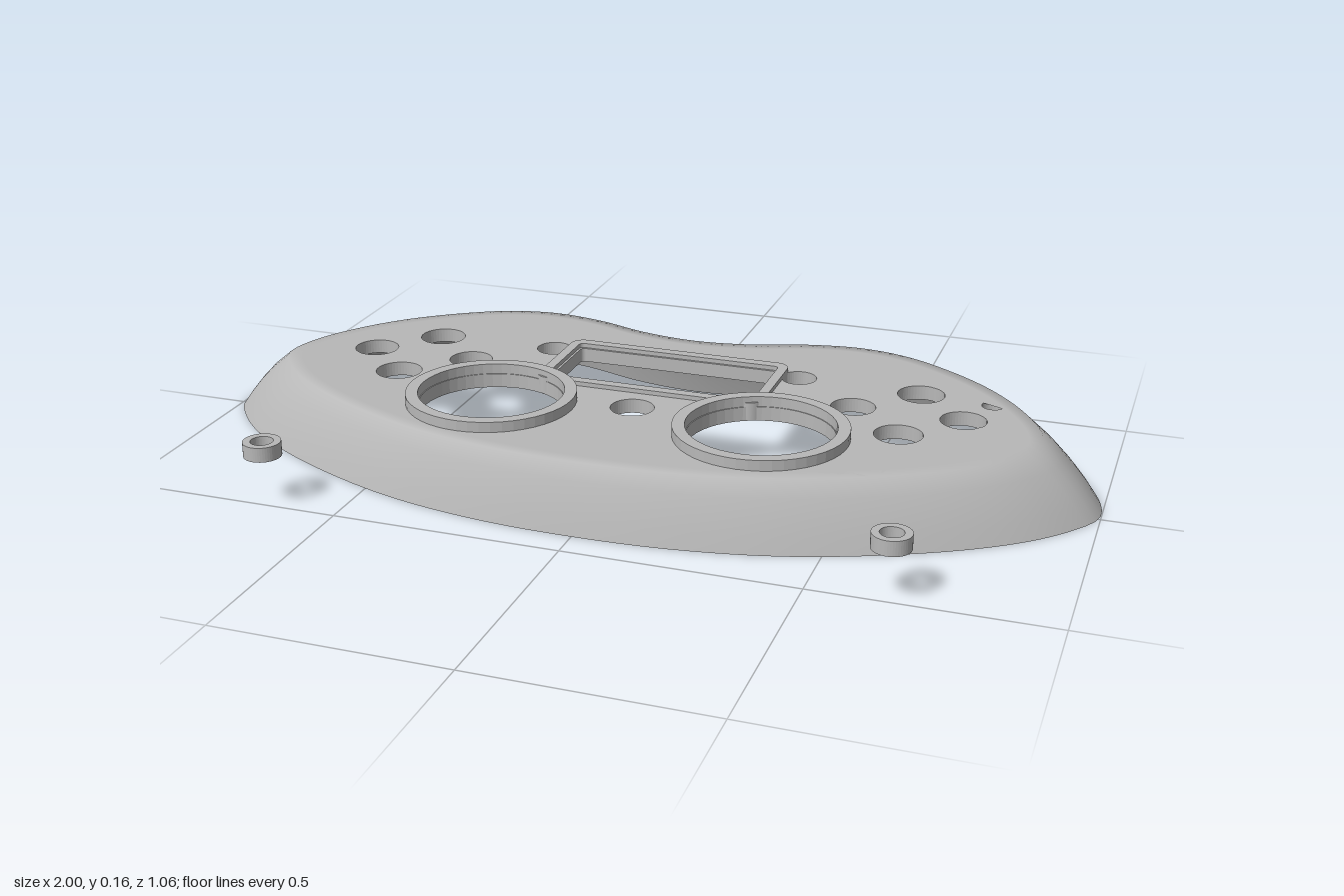
import * as THREE from 'three';

const TOP = 0.14, UNDER = 0.108, INSET = 0.03, N = 160;

// Half of the base outline as [x, z], from front centre round to back centre
const HALF = [
  [0, 0.432], [0.22, 0.42], [0.45, 0.372], [0.7, 0.267], [0.86, 0.165], [0.95, 0.075], [0.997, -0.005],
  [0.985, -0.1], [0.92, -0.225], [0.82, -0.345], [0.7, -0.44], [0.57, -0.51], [0.44, -0.535],
  [0.3, -0.515], [0.15, -0.465], [0, -0.444],
];

function baseOutline() {
  const other = HALF.slice(1, -1).reverse().map(([x, z]) => [-x, z]);
  const pts = [...HALF, ...other].map(([x, z]) => new THREE.Vector3(x, 0, z));
  return new THREE.CatmullRomCurve3(pts, true, 'centripetal').getSpacedPoints(N).slice(0, N);
}

// Outline scaled about the centre, then moved inwards by a fixed wall thickness
function ring(outline, scale, inset) {
  return outline.map((p, i) => {
    const a = outline[(i + N - 1) % N], b = outline[(i + 1) % N];
    const t = new THREE.Vector2(b.x - a.x, b.z - a.z).normalize();
    return [p.x * scale + t.y * inset, p.z * scale - t.x * inset];
  });
}

// Smooth skin over a stack of [scale, y, inset] rows
function skin(outline, rows) {
  const pos = [], idx = [];
  for (const [s, y, inset] of rows) for (const [x, z] of ring(outline, s, inset)) pos.push(x, y, z);
  for (let j = 0; j < rows.length - 1; j++) {
    for (let i = 0; i < N; i++) {
      const k = (i + 1) % N;
      const a = j * N + i, b = j * N + k, c = b + N, d = a + N;
      idx.push(a, b, c, a, c, d);
    }
  }
  const g = new THREE.BufferGeometry();
  g.setAttribute('position', new THREE.Float32BufferAttribute(pos, 3));
  g.setIndex(idx);
  g.computeVertexNormals();
  return g;
}

// Shapes lie in x/-z and are extruded upwards
function circle(x, z, r, Type = THREE.Path) {
  return new Type().absarc(x, -z, r, 0, Math.PI * 2, false);
}

function roundedRect(x0, x1, z0, z1, r, Type = THREE.Path) {
  const p = new Type(), y0 = -z1, y1 = -z0;
  p.moveTo(x0 + r, y0);
  p.lineTo(x1 - r, y0);
  p.absarc(x1 - r, y0 + r, r, -Math.PI / 2, 0, false);
  p.lineTo(x1, y1 - r);
  p.absarc(x1 - r, y1 - r, r, 0, Math.PI / 2, false);
  p.lineTo(x0 + r, y1);
  p.absarc(x0 + r, y1 - r, r, Math.PI / 2, Math.PI, false);
  p.lineTo(x0, y0 + r);
  p.absarc(x0 + r, y0 + r, r, Math.PI, Math.PI * 1.5, false);
  return p;
}

function slab(shape, holes, y0, y1) {
  shape.holes.push(...holes);
  const g = new THREE.ExtrudeGeometry(shape, { depth: y1 - y0, bevelEnabled: false, curveSegments: 24 });
  return g.rotateX(-Math.PI / 2).translate(0, y0, 0);
}

export function createModel() {
  const group = new THREE.Group();
  group.name = 'controllerFaceplate';
  const grey = new THREE.MeshStandardMaterial({ color: 0xb8b8b8 });
  grey.name = 'lightGrey';
  const add = (name, geometry) => {
    const m = new THREE.Mesh(geometry, grey);
    m.name = name;
    group.add(m);
  };
  const outline = baseOutline();

  // Hollow shell: curved outer wall with its rim, inner wall, bottom edge
  add('outerWall', skin(outline, [
    [1, 0, 0], [0.975, 0.035, 0], [0.946, 0.07, 0], [0.912, 0.105, 0], [0.87, TOP, 0], [0.87, TOP, INSET],
  ]));
  add('innerLedge', skin(outline, [[0.87, UNDER, INSET], [0.909, UNDER, INSET]]));
  add('innerWall', skin(outline, [
    [0.909, UNDER, INSET], [0.946, 0.07, INSET], [0.975, 0.035, INSET], [1, 0, INSET],
  ]));
  add('bottomEdge', skin(outline, [[1, 0, INSET], [1, 0, 0]]));

  // Face plate with button, stick and screen openings
  const holes = [circle(0, 0.06, 0.048), roundedRect(-0.235, 0.235, -0.252, -0.052, 0.01)];
  const buttons = [[0.295, -0.23, 0.04], [0.575, -0.22, 0.052], [0.45, -0.1, 0.049],
    [0.69, -0.1, 0.05], [0.575, 0.02, 0.052], [0.735, -0.205, 0.024], [0.56, 0.225, 0.024]];
  for (const s of [-1, 1]) {
    holes.push(circle(s * 0.305, 0.118, 0.158));
    for (const [x, z, r] of buttons) holes.push(circle(s * x, z, r));
  }
  const plate = new THREE.Shape(ring(outline, 0.87, INSET).map(([x, z]) => new THREE.Vector2(x, -z)));
  add('facePlate', slab(plate, holes, UNDER, TOP));

  // Raised screen frame, cut away where the stick collars cross it
  add('screenFrame', slab(roundedRect(-0.262, 0.262, -0.283, -0.022, 0.03, THREE.Shape),
    [roundedRect(-0.24, 0.24, -0.258, -0.046, 0.01)], UNDER + 0.002, 0.15));

  for (const s of [-1, 1]) {
    // Stick collars
    add('stickCollar', slab(circle(s * 0.305, 0.118, 0.187, THREE.Shape),
      [circle(s * 0.305, 0.118, 0.16)], UNDER + 0.001, 0.163));
    // Loose spacer rings in front of the shell
    add('spacerRing', slab(circle(s * 0.663, 0.487, 0.04, THREE.Shape),
      [circle(s * 0.663, 0.487, 0.024)], UNDER, TOP));
  }
  return group;
}
